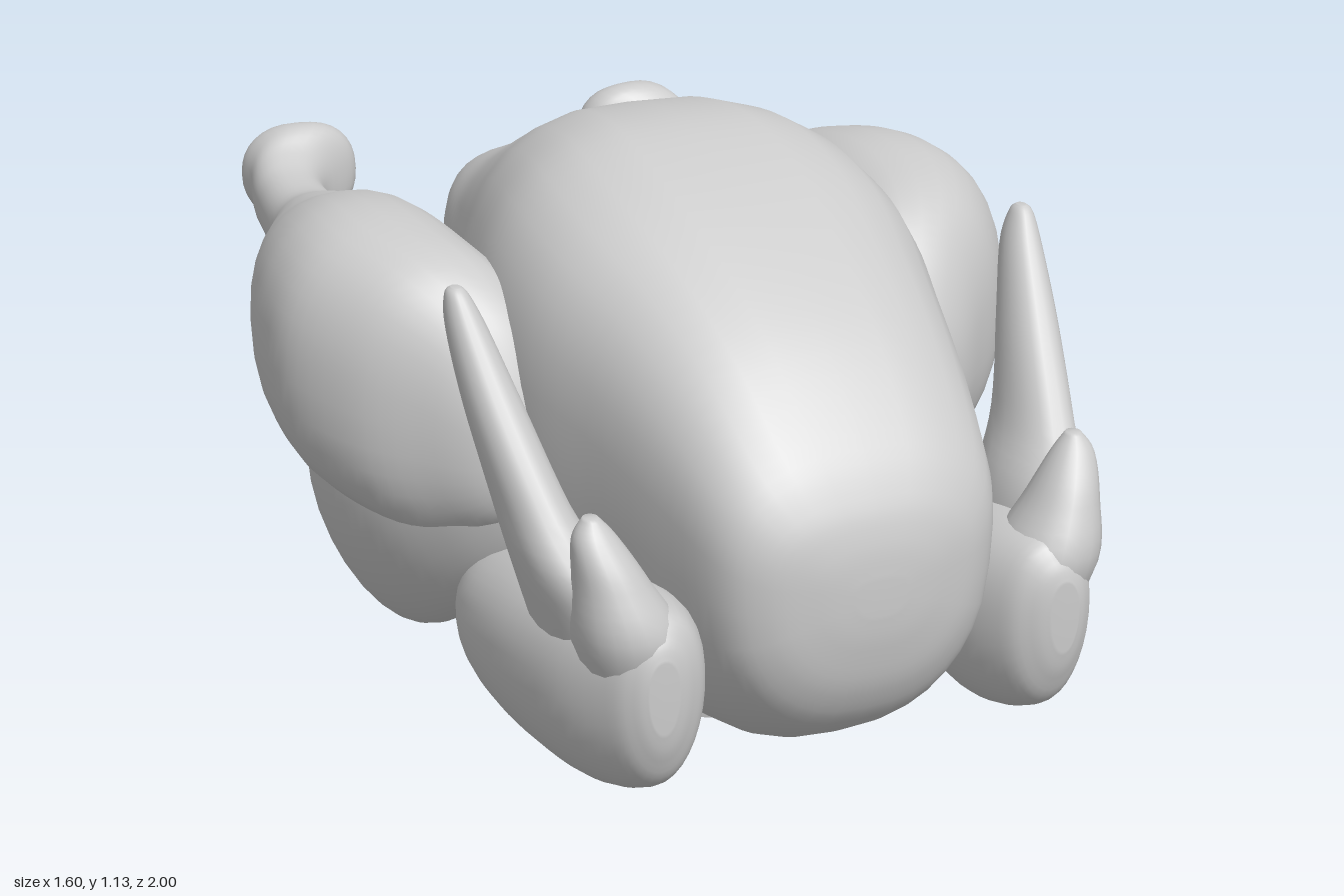
import * as THREE from 'three';

const material = new THREE.MeshStandardMaterial({ color: 0xcccccc, roughness: 0.8 });

// Uniform Catmull-Rom between b and c
function spline(a, b, c, d, t) {
  return b + 0.5 * t * (c - a + t * (2 * a - 5 * b + 4 * c - d + t * (3 * (b - c) + d - a)));
}

// Smooth closed skin through rounded cross-sections.
// section: [along, cu, cv, ru, rv]; axis 'z' uses (x, y), axis 'y' uses (z, x).
function loft(name, sections, { axis = 'z', power = 0.95, taper = () => 0, shape, sides = 32, steps = 5 } = {}) {
  const s = [...sections].sort((a, b) => a[0] - b[0]);
  const at = (i) => s[Math.max(0, Math.min(s.length - 1, i))];
  const rings = [];
  for (let i = 0; i < s.length - 1; i++) {
    for (let k = 0; k < steps; k++) {
      rings.push(s[i].map((_, c) => spline(at(i - 1)[c], at(i)[c], at(i + 1)[c], at(i + 2)[c], k / steps)));
    }
  }
  rings.push(at(s.length - 1));
  // close both ends
  const close = (r) => [r[0], r[1], r[2], 0, 0];
  rings.unshift(close(rings[0]));
  rings.push(close(rings[rings.length - 1]));

  const positions = [], index = [];
  const soft = (v) => Math.sign(v) * Math.pow(Math.abs(v), power);
  rings.forEach(([w, cu, cv, ru, rv], i) => {
    for (let j = 0; j < sides; j++) {
      const a = (j / sides) * Math.PI * 2;
      const u = cu + ru * soft(Math.cos(a)) * (1 + taper(w) * Math.sin(a));
      const v = cv + rv * soft(Math.sin(a));
      const p = axis === 'z' ? new THREE.Vector3(u, v, w) : new THREE.Vector3(v, w, u);
      if (shape) shape(p);
      positions.push(p.x, p.y, p.z);
      if (i < rings.length - 1) {
        const n = (j + 1) % sides, r0 = i * sides, r1 = r0 + sides;
        index.push(r0 + j, r0 + n, r1 + j, r0 + n, r1 + n, r1 + j);
      }
    }
  });
  const geometry = new THREE.BufferGeometry();
  geometry.setAttribute('position', new THREE.Float32BufferAttribute(positions, 3));
  geometry.setIndex(index);
  geometry.computeVertexNormals();
  const mesh = new THREE.Mesh(geometry, material);
  mesh.name = name;
  return mesh;
}

// Body section from its top, bottom and half width
const span = ([z, top, bottom, w]) => [z, 0, (top + bottom) / 2, w, (top - bottom) / 2];
const bell = (v, width) => Math.exp(-(v * v) / (width * width));

function makeBody() {
  const body = new THREE.Group();
  body.name = 'body';

  // Breast: plump at the front, ending in a flap over the rear opening
  body.add(loft('breast', [
    [1.0, 0.47, 0.4, 0.05], [0.992, 0.54, 0.33, 0.13], [0.965, 0.62, 0.23, 0.22], [0.9, 0.72, 0.14, 0.285],
    [0.75, 0.87, 0.06, 0.33], [0.55, 1.0, 0.03, 0.38], [0.35, 1.09, 0.02, 0.435],
    [0.15, 1.135, 0.01, 0.445], [-0.05, 1.115, 0.005, 0.4], [-0.22, 1.045, 0.06, 0.345],
    [-0.38, 0.97, 0.25, 0.285], [-0.5, 0.92, 0.5, 0.24], [-0.6, 0.88, 0.65, 0.175],
    [-0.64, 0.845, 0.72, 0.12], [-0.655, 0.82, 0.75, 0.06],
  ].map(span), {
    power: 0.76,
    taper: (z) => 0.04 + 0.12 * THREE.MathUtils.smoothstep(z, 0, 0.5),
    // shallow groove along the breastbone
    shape: (p) => { if (p.y > 0.6) p.y -= 0.01 * bell(p.x, 0.08) * bell(p.z - 0.3, 0.4); },
  }));

  // Belly: fills in between the wings and thighs underneath
  body.add(loft('belly', [
    [0.66, 0.3, 0.07, 0.3], [0.45, 0.38, 0.035, 0.37], [0.2, 0.45, 0.02, 0.41],
    [0.0, 0.5, 0.01, 0.43], [-0.22, 0.5, 0.035, 0.4], [-0.42, 0.4, 0.08, 0.32],
  ].map(span), { power: 0.85 }));

  // Rump: scooped out on top below the flap, pointed at the tail
  body.add(loft('rump', [
    [0.15, 0.6, 0.1, 0.25], [-0.1, 0.7, 0.02, 0.36], [-0.3, 0.7, 0.045, 0.42],
    [-0.48, 0.61, 0.08, 0.42], [-0.6, 0.52, 0.15, 0.38], [-0.72, 0.42, 0.19, 0.3],
    [-0.8, 0.34, 0.22, 0.21], [-0.835, 0.3, 0.235, 0.13], [-0.842, 0.28, 0.25, 0.07],
  ].map(span), {
    power: 0.85,
    shape: (p) => { if (p.y > 0.36) p.y -= (p.y - 0.34) * 0.75 * bell(p.x, 0.17) * bell(p.z + 0.58, 0.16); },
  }));
  return body;
}

function makeLeg(side) {
  const leg = new THREE.Group();
  leg.name = side > 0 ? 'leftLeg' : 'rightLeg';
  const place = (s) => [s[0], s[1] * side, ...s.slice(2)];

  leg.add(loft('drumstick', [
    [0.39, 0.44, 0.57, 0.03, 0.05], [0.36, 0.45, 0.58, 0.09, 0.14], [0.3, 0.47, 0.61, 0.145, 0.22],
    [0.2, 0.52, 0.64, 0.2, 0.275],
    [0.05, 0.565, 0.67, 0.23, 0.285], [-0.1, 0.572, 0.685, 0.223, 0.28], [-0.25, 0.555, 0.685, 0.207, 0.255],
    [-0.4, 0.53, 0.69, 0.175, 0.2], [-0.55, 0.5, 0.71, 0.122, 0.14], [-0.66, 0.485, 0.725, 0.088, 0.095],
    [-0.78, 0.475, 0.74, 0.077, 0.085], [-0.85, 0.455, 0.755, 0.088, 0.095], [-0.9, 0.41, 0.775, 0.122, 0.112],
    [-0.96, 0.405, 0.78, 0.125, 0.105], [-0.99, 0.42, 0.78, 0.09, 0.07], [-1.0, 0.43, 0.78, 0.05, 0.035],
  ].map(place), {
    power: 0.88,
    // slight notch between the two lobes of the knuckle
    shape: (p) => { if (p.z < -0.88) p.z += 0.015 * bell(Math.abs(p.x) - 0.38, 0.05) * THREE.MathUtils.smoothstep(-p.z, 0.88, 1); },
  }));

  // Thigh: wide where it meets the drumstick, narrowing underneath
  leg.add(loft('thigh', [
    [0.38, 0.41, 0.54, 0.04, 0.06], [0.34, 0.42, 0.51, 0.1, 0.15], [0.27, 0.44, 0.47, 0.15, 0.21],
    [0.15, 0.465, 0.42, 0.2, 0.26], [0, 0.48, 0.385, 0.22, 0.305], [-0.2, 0.455, 0.36, 0.21, 0.3],
    [-0.38, 0.38, 0.33, 0.17, 0.25], [-0.52, 0.31, 0.32, 0.12, 0.19], [-0.62, 0.26, 0.32, 0.05, 0.08],
  ].map(place), { taper: () => 0.26, power: 0.95 }));
  return leg;
}

function makeWing(side) {
  const wing = new THREE.Group();
  wing.name = side > 0 ? 'leftWing' : 'rightWing';
  const place = (s) => [s[0], s[1] * side, ...s.slice(2)];
  // upright parts: [y, x, z, half width x, half depth z]
  const upright = ([y, x, z, rx, rz]) => [y, z, x * side, rz, rx];

  wing.add(loft('upperWing', [
    [0.96, 0.42, 0.3, 0.03, 0.07], [0.945, 0.415, 0.29, 0.06, 0.12], [0.9, 0.41, 0.275, 0.1, 0.175],
    [0.76, 0.415, 0.25, 0.15, 0.2], [0.55, 0.435, 0.235, 0.15, 0.185], [0.35, 0.43, 0.215, 0.135, 0.155],
    [0.2, 0.41, 0.2, 0.1, 0.12], [0.08, 0.39, 0.2, 0.04, 0.05],
  ].map(place), { taper: () => 0.1 }));

  wing.add(loft('wingTip', [
    [0.22, 0.44, 0.69, 0.07, 0.1], [0.45, 0.495, 0.7, 0.082, 0.155], [0.58, 0.535, 0.635, 0.064, 0.115],
    [0.75, 0.57, 0.543, 0.052, 0.078], [0.88, 0.592, 0.475, 0.037, 0.052], [0.94, 0.602, 0.455, 0.022, 0.028],
    [0.955, 0.603, 0.453, 0.009, 0.012],
  ].map(upright), { axis: 'y', sides: 20 }));

  wing.add(loft('wingThumb', [
    [0.22, 0.415, 0.81, 0.07, 0.07], [0.38, 0.44, 0.842, 0.1, 0.11], [0.5, 0.475, 0.845, 0.068, 0.077],
    [0.58, 0.5, 0.835, 0.043, 0.042], [0.62, 0.505, 0.828, 0.014, 0.016],
  ].map(upright), { axis: 'y', sides: 20 }));
  return wing;
}

export function createModel() {
  const model = new THREE.Group();
  model.name = 'roastBird';
  model.add(makeBody());
  for (const side of [1, -1]) model.add(makeLeg(side), makeWing(side));
  return model;
}
